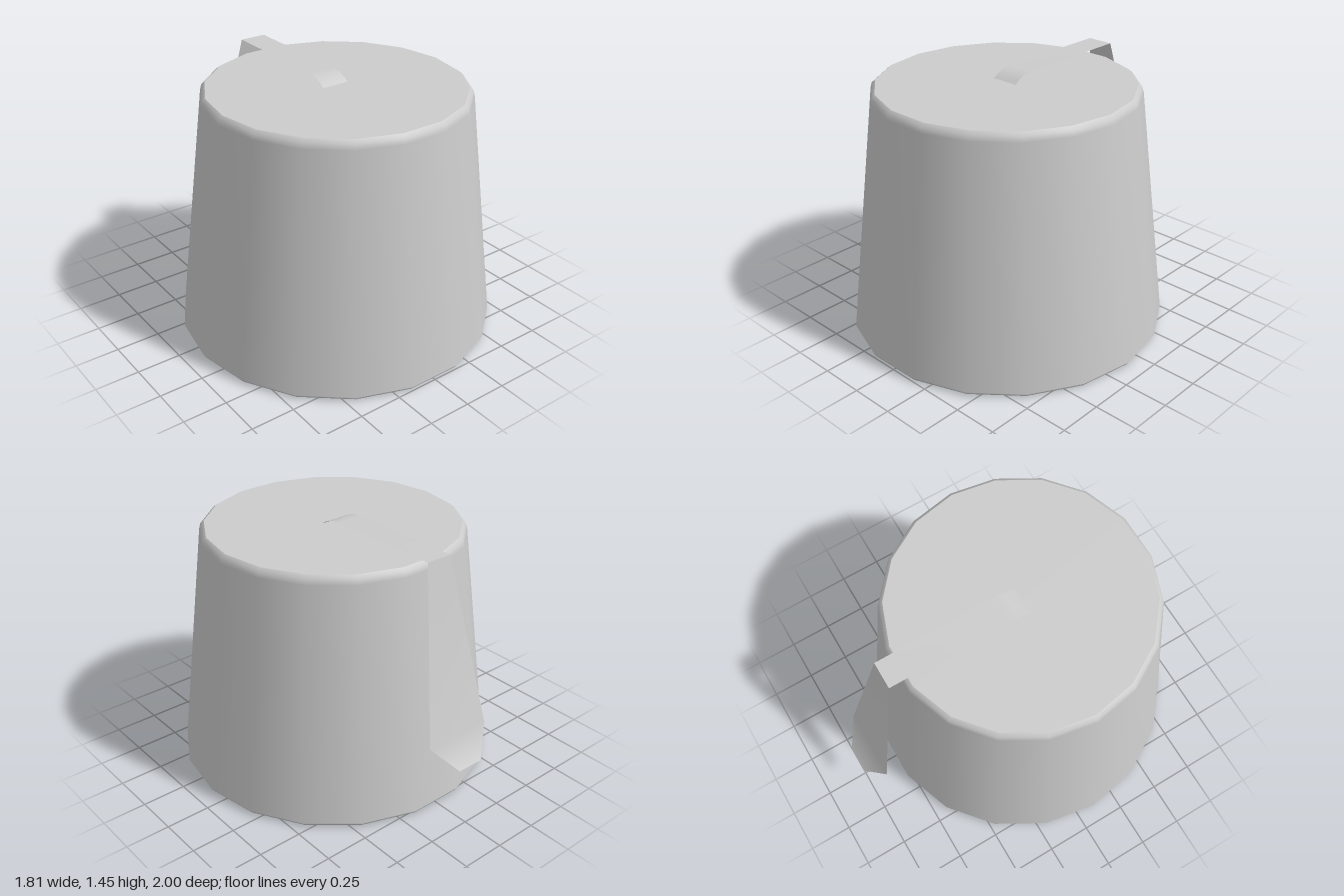
import * as THREE from 'three';

const SIDES = 18;
const CENTRE_Z = 0.109;

// Thin sheet through rows of [right edge x, left edge x, y, z], smooth along its length.
function sheet(name, rows, material) {
  const positions = [], index = [];
  rows.forEach(([x0, x1, y, z], i) => {
    positions.push(x0, y, z, x1, y, z);
    if (i === 0) return;
    const a = 2 * i - 2;
    index.push(a, a + 1, a + 3, a, a + 3, a + 2);
  });
  const geometry = new THREE.BufferGeometry();
  geometry.setAttribute('position', new THREE.Float32BufferAttribute(positions, 3));
  geometry.setIndex(index);
  geometry.computeVertexNormals();
  const mesh = new THREE.Mesh(geometry, material);
  mesh.name = name;
  return mesh;
}

export function createModel() {
  const model = new THREE.Group();
  const grey = new THREE.MeshStandardMaterial({ color: 0xcccccc });
  const thin = new THREE.MeshStandardMaterial({ color: 0xcccccc, side: THREE.DoubleSide });

  // Tapered body with small rounded rims, smooth all the way up
  const profile = [[0.87, 0], [0.893, 0.006], [0.905, 0.025], [0.738, 1.36], [0.73, 1.39], [0.71, 1.407]];
  const wall = new THREE.Mesh(
    new THREE.LatheGeometry(profile.map(([r, y]) => new THREE.Vector2(r, y)), SIDES), grey);
  wall.name = 'wall';

  // Flat discs closing the top and the bottom
  const cap = (name, [radius, y], tilt) => {
    const mesh = new THREE.Mesh(new THREE.CircleGeometry(radius, SIDES), grey);
    mesh.geometry.rotateZ(Math.PI / 2).rotateX(tilt);
    mesh.name = name;
    mesh.position.y = y;
    return mesh;
  };

  const body = new THREE.Group();
  body.name = 'body';
  body.add(wall, cap('top', profile.at(-1), -Math.PI / 2), cap('bottom', profile[0], Math.PI / 2));
  body.rotation.y = Math.PI / SIDES; // a flat side faces the front
  body.position.z = CENTRE_Z;
  model.add(body);

  // Strap lying across the top, then a flaring tab hanging down the back
  const strap = new THREE.Group();
  strap.name = 'strap';
  strap.add(sheet('topStrip', [
    [-0.09, 0.073, 1.402, 0.12],
    [-0.088, 0.072, 1.425, 0.085],
    [-0.086, 0.07, 1.444, 0.04],
    [-0.085, 0.068, 1.452, -0.02],
    [-0.085, 0.068, 1.452, -0.7],
  ], thin));
  strap.add(sheet('hangingTab', [
    [-0.085, 0.068, 1.452, -0.7],
    [-0.21, 0.195, 0.51, -0.9],
    [-0.087, 0.07, 0.37, -1],
  ], thin));
  model.add(strap);

  return model;
}
